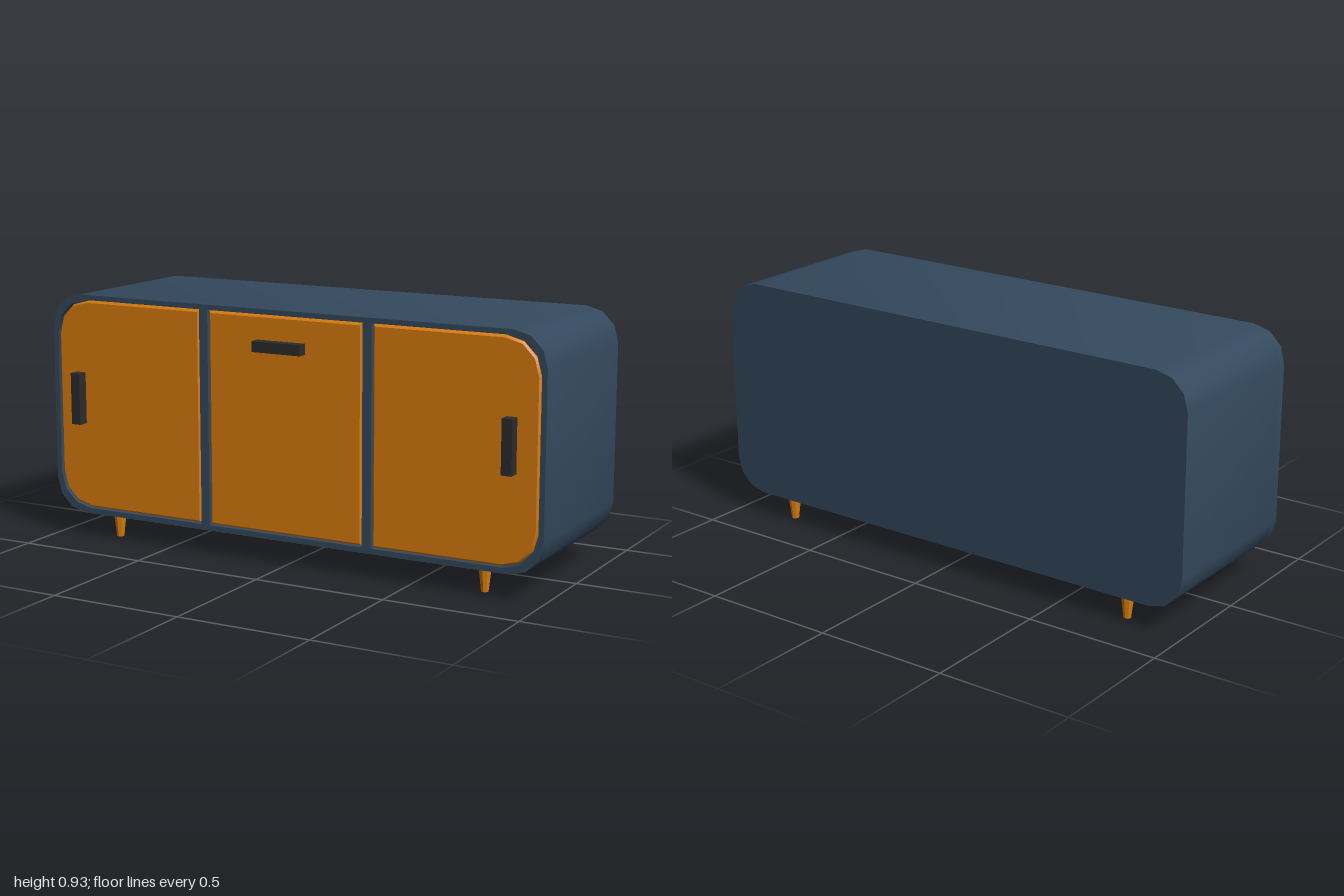
import * as THREE from 'three';
import { toCreasedNormals } from 'three/addons/utils/BufferGeometryUtils.js';

const navy = new THREE.MeshStandardMaterial({ color: 0x34495e });
navy.name = 'navy lacquer';
const amber = new THREE.MeshStandardMaterial({ color: 0xd97d0d });
amber.name = 'amber wood';
const charcoal = new THREE.MeshStandardMaterial({ color: 0x2c2c2c });
charcoal.name = 'charcoal handle';

// Rectangle outline with separate radii for its left and right corners, three facets each
function outline(x0, x1, y0, y1, rLeft, rRight) {
  const points = [];
  const corners = [
    [x1, y0, -1, 1, rRight, -90], [x1, y1, -1, -1, rRight, 0],
    [x0, y1, 1, -1, rLeft, 90], [x0, y0, 1, 1, rLeft, 180],
  ];
  for (const [x, y, sx, sy, r, start] of corners) {
    const steps = r > 0 ? 3 : 0;
    for (let i = 0; i <= steps; i++) {
      const a = THREE.MathUtils.degToRad(start + i * 30);
      points.push(new THREE.Vector2(x + sx * r + r * Math.cos(a), y + sy * r + r * Math.sin(a)));
    }
  }
  return points;
}

function slab(shape, z, depth, bevel = 0) {
  const geometry = new THREE.ExtrudeGeometry(shape, {
    depth: depth - bevel, bevelEnabled: bevel > 0, bevelSize: bevel,
    bevelThickness: bevel, bevelOffset: -bevel, bevelSegments: 1,
  });
  geometry.translate(0, 0, z);
  return toCreasedNormals(geometry, 0.65);
}

export function createModel() {
  const group = new THREE.Group();
  const add = (name, geometry, material, x = 0, y = 0, z = 0) => {
    const mesh = new THREE.Mesh(geometry, material);
    mesh.name = name;
    mesh.position.set(x, y, z);
    group.add(mesh);
  };

  // Door openings: x0, x1, left and right corner radius
  const openings = [
    ['right', -0.98, -0.35, 0.13, 0],
    ['centre', -0.315, 0.315, 0, 0],
    ['left', 0.35, 0.98, 0, 0.13],
  ];

  // Cabinet body and the front frame around the doors
  const shell = outline(-1, 1, 0.092, 0.926, 0.125, 0.125);
  add('cabinetBody', slab(new THREE.Shape(shell), -0.34, 0.62), navy);
  const frame = new THREE.Shape(shell);
  for (const [, x0, x1, rl, rr] of openings) {
    frame.holes.push(new THREE.Path(outline(x0, x1, 0.112, 0.907, rl, rr).reverse()));
  }
  add('frontFrame', slab(frame, 0.28, 0.025), navy);

  // Doors set into the frame with a narrow gap
  const gap = 0.004;
  for (const [side, x0, x1, rl, rr] of openings) {
    const shape = new THREE.Shape(outline(x0 + gap, x1 - gap, 0.112 + gap, 0.907 - gap, rl, rr));
    add(side + 'Door', slab(shape, 0.278, 0.024, 0.007), amber);
  }

  // Handles
  const handle = (name, w, h, x, y) =>
    add(name, new THREE.BoxGeometry(w, h, 0.045), charcoal, x, y, 0.3195);
  handle('rightHandle', 0.039, 0.194, -0.88, 0.536);
  handle('centreHandle', 0.194, 0.039, -0.01, 0.796);
  handle('leftHandle', 0.039, 0.194, 0.875, 0.536);

  // Tapered legs
  const leg = toCreasedNormals(new THREE.CylinderGeometry(0.025, 0.014, 0.095, 8), 0.3);
  for (const x of [-0.76, 0.76]) {
    for (const z of [0.24, -0.29]) {
      add((z > 0 ? 'front' : 'back') + (x > 0 ? 'Left' : 'Right') + 'Leg', leg, amber, x, 0.0475, z);
    }
  }
  return group;
}
